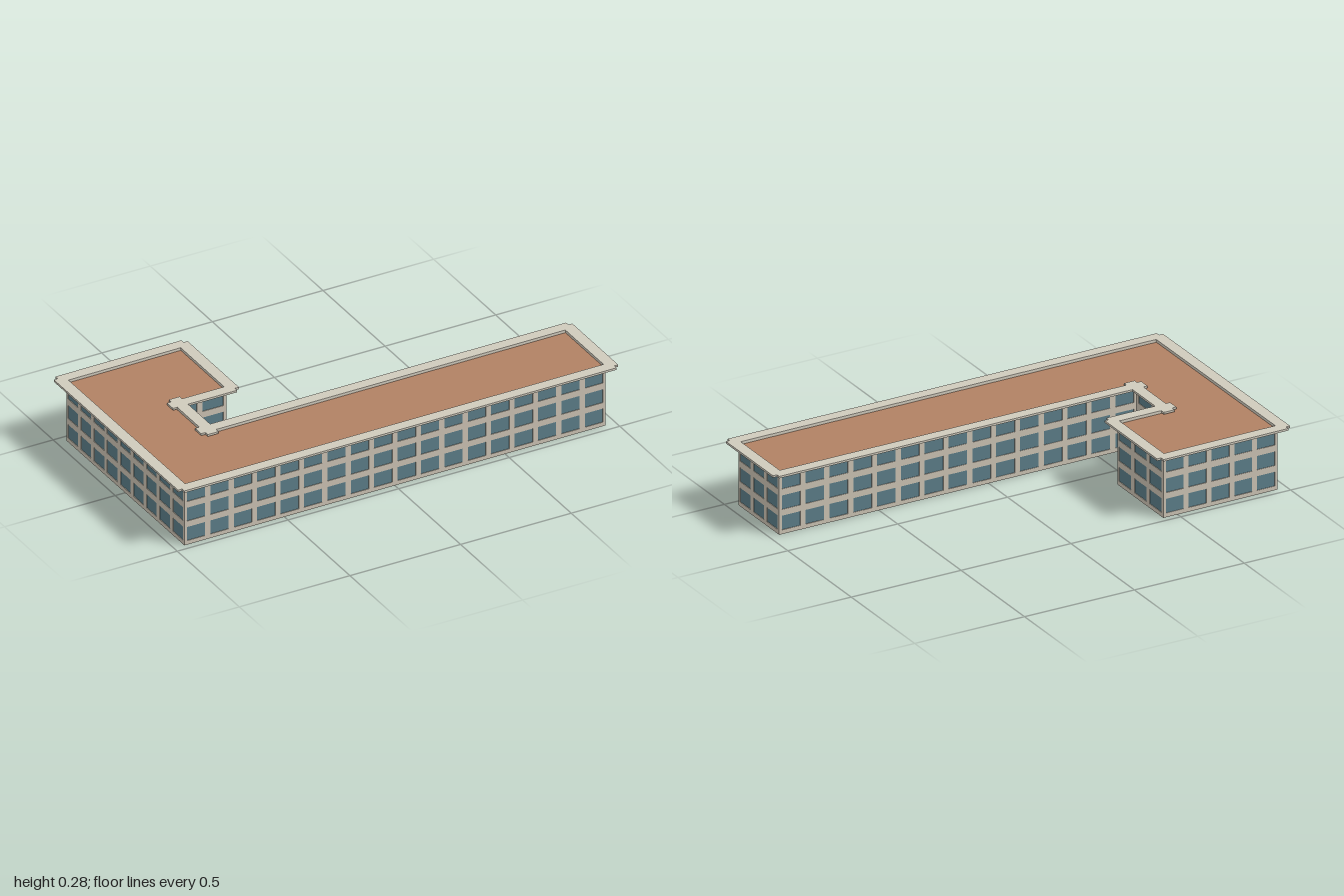
import * as THREE from 'three';

const WALL_TOP = 0.268, CORNICE_TOP = 0.277, ROOF_Y = 0.264;
const THICK = 0.005;
const BAY = 0.1062;                       // nominal window spacing
const ROWS = [[0.018, 0.08], [0.107, 0.168], [0.196, 0.258]];

// footprint corners [x, z], walked with the outside on the right-hand side
const PLAN = [
  [-0.953, 0.474], [0.955, 0.466], [0.955, 0.146], [-0.675, 0.152],
  [-0.675, -0.112], [-0.435, -0.112], [-0.435, -0.475], [-0.957, -0.47],
];

const material = (color) => new THREE.MeshStandardMaterial({ color, side: THREE.DoubleSide });

function rectangle(Type, x0, y0, x1, y1) {
  const r = new Type();
  r.moveTo(x0, y0);
  r.lineTo(x1, y0);
  r.lineTo(x1, y1);
  r.lineTo(x0, y1);
  r.closePath();
  return r;
}

export function createModel() {
  const model = new THREE.Group();
  model.name = 'building';
  const wallMat = material(0xcbc2b3), glassMat = material(0x5b7d88);
  const roofMat = material(0xb18163), corniceMat = material(0xcfcabc);

  const add = (parent, name, geometry, mat) => {
    const mesh = new THREE.Mesh(geometry, mat);
    mesh.name = name;
    parent.add(mesh);
    return mesh;
  };

  PLAN.forEach(([x, z], i) => {
    const [x2, z2] = PLAN[(i + 1) % PLAN.length];
    const dx = x2 - x, dz = z2 - z, length = Math.hypot(dx, dz);

    // local frame: x along the wall, z outward
    const side = new THREE.Group();
    side.name = 'facade' + (i + 1);
    side.position.set(x, 0, z);
    side.rotation.y = Math.atan2(-dz, dx);
    model.add(side);

    // wall pierced by three rows of windows
    const shape = rectangle(THREE.Shape, 0, 0, length, WALL_TOP);
    const count = Math.round(length / BAY), pitch = length / count;
    for (let c = 0; c < count; c++) {
      const mid = (c + 0.5) * pitch, half = pitch * 0.39;
      for (const [y0, y1] of ROWS) {
        shape.holes.push(rectangle(THREE.Path, mid - half, y0, mid + half, y1));
      }
    }
    const wall = new THREE.ExtrudeGeometry(shape, { depth: THICK, bevelEnabled: false });
    wall.translate(0, 0, -THICK);
    add(side, 'wall', wall, wallMat);

    // glass filling each opening, set slightly back
    shape.holes.forEach((hole) => {
      const pane = new THREE.ShapeGeometry(new THREE.Shape(hole.getPoints()));
      add(side, 'windowPane', pane, glassMat).position.z = -THICK * 0.5;
    });

    // overhanging cornice slab, running a little past both corners
    const cornice = new THREE.BoxGeometry(length + 0.05, CORNICE_TOP - WALL_TOP, 0.049);
    add(side, 'cornice', cornice, corniceMat)
      .position.set(length / 2, (WALL_TOP + CORNICE_TOP) / 2, 0.0185);
  });

  // flat roof, just below the cornice
  const roofShape = new THREE.Shape(PLAN.map(([x, z]) => new THREE.Vector2(x, -z)));
  const roof = new THREE.ShapeGeometry(roofShape);
  roof.rotateX(-Math.PI / 2);
  add(model, 'roof', roof, roofMat).position.y = ROOF_Y;

  return model;
}
